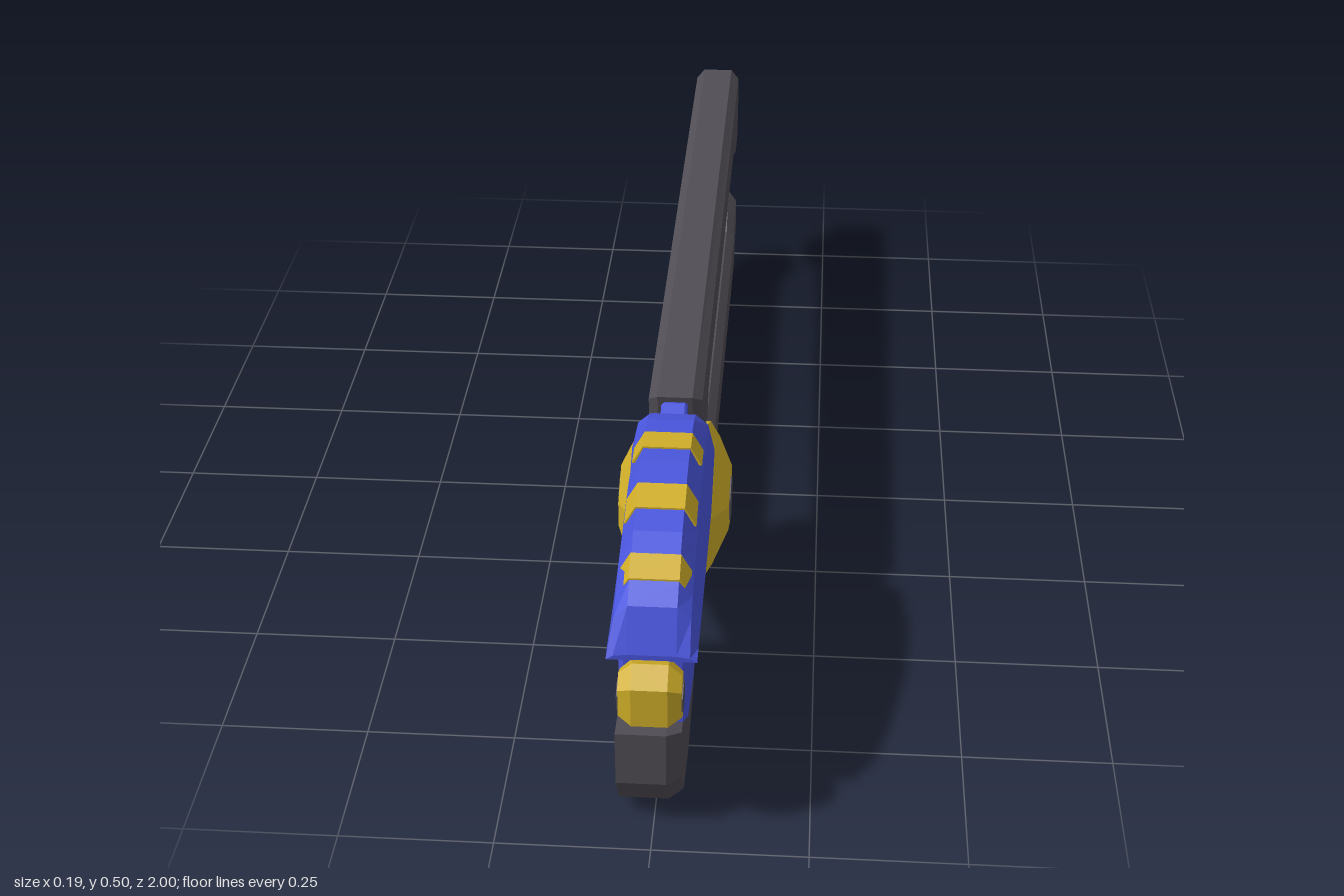
import * as THREE from 'three';

const mat = (color) => new THREE.MeshStandardMaterial({ color, side: THREE.DoubleSide });
const DARK = mat(0x514d55), BLUE = mat(0x4a56de), YELLOW = mat(0xd0ae28);

export function createModel() {
  const model = new THREE.Group();
  const add = (name, geometry, material) => {
    const mesh = new THREE.Mesh(geometry, material);
    mesh.name = name;
    model.add(mesh);
    return mesh;
  };

  // Skin a row of equal-sized rings and close both ends, with flat facets
  const loft = (rings) => {
    const pos = [], n = rings[0].length;
    const tri = (...pts) => pts.forEach((p) => pos.push(p.x, p.y, p.z));
    const middle = (ring) => ring.reduce((s, p) => s.add(p), new THREE.Vector3()).divideScalar(n);
    const first = rings[0], last = rings[rings.length - 1];
    const c0 = middle(first), c1 = middle(last);
    for (let j = 0; j < n; j++) {
      const k = (j + 1) % n;
      for (let i = 0; i < rings.length - 1; i++) {
        const a = rings[i], b = rings[i + 1];
        tri(a[j], a[k], b[k]);
        tri(a[j], b[k], b[j]);
      }
      tri(c0, first[k], first[j]);
      tri(c1, last[j], last[k]);
    }
    const g = new THREE.BufferGeometry();
    g.setAttribute('position', new THREE.Float32BufferAttribute(pos, 3));
    g.computeVertexNormals();
    return g;
  };

  // Convex side profile [z, y], scaled about its centre at each [x, scale] layer
  const plate = (profile, layers) => {
    const pts = profile.map(([z, y]) => new THREE.Vector2(z, y));
    if (!THREE.ShapeUtils.isClockWise(pts)) pts.reverse();
    const box = new THREE.Box2().setFromPoints(pts).getCenter(new THREE.Vector2());
    return loft(layers.map(([x, s]) => pts.map((p) =>
      new THREE.Vector3(x, box.y + (p.y - box.y) * s, box.x + (p.x - box.x) * s))));
  };

  // Any side profile [z, y] extruded across x with chamfered rims
  const bar = (profile, half, bevel) => {
    const shape = new THREE.Shape(profile.map(([z, y]) => new THREE.Vector2(z, y)));
    const g = new THREE.ExtrudeGeometry(shape, {
      depth: 2 * (half - bevel), bevelEnabled: true, bevelSegments: 1,
      bevelSize: bevel, bevelThickness: bevel, bevelOffset: -bevel,
    });
    return g.translate(0, 0, bevel - half).rotateY(-Math.PI / 2);
  };

  const hexagon = (z, y, r) => Array.from({ length: 6 }, (_, i) => {
    const a = (i + 0.5) * Math.PI / 3;
    return [z + r * Math.cos(a), y + r * Math.sin(a)];
  });

  // Long handles with hooked ends
  add('upperHandle', bar([
    [0.425, 0.487], [-0.965, 0.487], [-1, 0.43], [-0.945, 0.32], [-0.85, 0.32],
    [-0.81, 0.37], [0.205, 0.37], [0.25, 0.32], [0.41, 0.39]], 0.046, 0.016), DARK);
  add('lowerHandle', bar([
    [0.405, 0.135], [0.35, 0.05], [-0.83, 0.05], [-0.94, 0.12], [-0.94, 0.195],
    [-0.85, 0.2], [-0.81, 0.16], [0.22, 0.16], [0.26, 0.21]], 0.046, 0.016), DARK);

  // Pivot hub with its bolt and rear ball
  add('pivotHub', plate(
    [[0.57, 0.33], [0.41, 0.42], [0.25, 0.33], [0.25, 0.22], [0.41, 0.14], [0.57, 0.21]],
    [[-0.095, 0.4], [-0.07, 0.8], [-0.052, 1], [0.052, 1], [0.07, 0.8], [0.095, 0.4]]), YELLOW);
  add('pivotBolt', plate(hexagon(0.412, 0.277, 0.042), [[-0.097, 1], [0.097, 1]]), DARK);
  const ball = add('rearBall', new THREE.SphereGeometry(0.049, 10, 8), BLUE);
  ball.position.set(0, 0.273, 0.237);

  // Jaw body between shell and blade
  add('jawBody', bar([
    [0.92, 0.36], [0.92, 0.2], [0.78, 0.17], [0.59, 0.19], [0.56, 0.23], [0.575, 0.36]],
    0.054, 0.008), BLUE);

  // Heavy rounded lower blade, chamfered on its left side
  add('lowerBlade', plate([
    [0.955, 0.2], [0.955, 0.1], [0.91, 0.03], [0.785, 0.003], [0.63, 0.03],
    [0.53, 0.12], [0.53, 0.165], [0.595, 0.21], [0.78, 0.185]],
    [[-0.058, 1], [0.022, 1], [0.045, 0.9]]), DARK);

  // Arched shell: rows of [z, top, base]
  const arch = [
    [0.465, 0.48, 0.41], [0.515, 0.5, 0.38], [0.565, 0.505, 0.35], [0.61, 0.505, 0.348],
    [0.65, 0.508, 0.347], [0.705, 0.5, 0.346], [0.755, 0.488, 0.345], [0.8, 0.478, 0.345],
    [0.84, 0.462, 0.345], [0.88, 0.443, 0.345], [0.915, 0.42, 0.345], [0.945, 0.35, 0.34]];
  const at = (x, y, z) => new THREE.Vector3(x, y, z);
  add('archedShell', loft(arch.map(([z, top, base]) => {
    const shoulder = base + (top - base) * 0.72;
    return [at(-0.07, base, z), at(0.07, base, z), at(0.059, shoulder, z),
      at(0.038, top, z), at(-0.038, top, z), at(-0.059, shoulder, z)];
  })), BLUE);

  // Three bands across the crown of the shell
  [2, 5, 8].forEach((i) => add('shellBand', loft(arch.slice(i, i + 2).map(([z, top]) => {
    const y = top + 0.003, low = top - 0.03;
    return [at(-0.057, low, z), at(0.057, low, z), at(0.039, y, z), at(-0.039, y, z)];
  })), YELLOW));

  // Narrow link from shell to handle
  add('shellLink', bar([[0.48, 0.47], [0.44, 0.485], [0.41, 0.47], [0.41, 0.38], [0.56, 0.33]],
    0.022, 0.004), BLUE);

  // Front knob with its pin and neck
  add('frontKnob', plate([
    [0.998, 0.325], [0.965, 0.35], [0.932, 0.335], [0.932, 0.25], [0.965, 0.232], [0.998, 0.255]],
    [[-0.049, 0.68], [-0.028, 1], [0.028, 1], [0.049, 0.68]]), YELLOW);
  add('frontPin', plate(hexagon(0.966, 0.291, 0.025), [[-0.051, 1], [0.051, 1]]), DARK);
  add('knobNeck', bar([[0.95, 0.34], [0.95, 0.25], [0.9, 0.23], [0.9, 0.35]], 0.03, 0.004), BLUE);

  return model;
}
